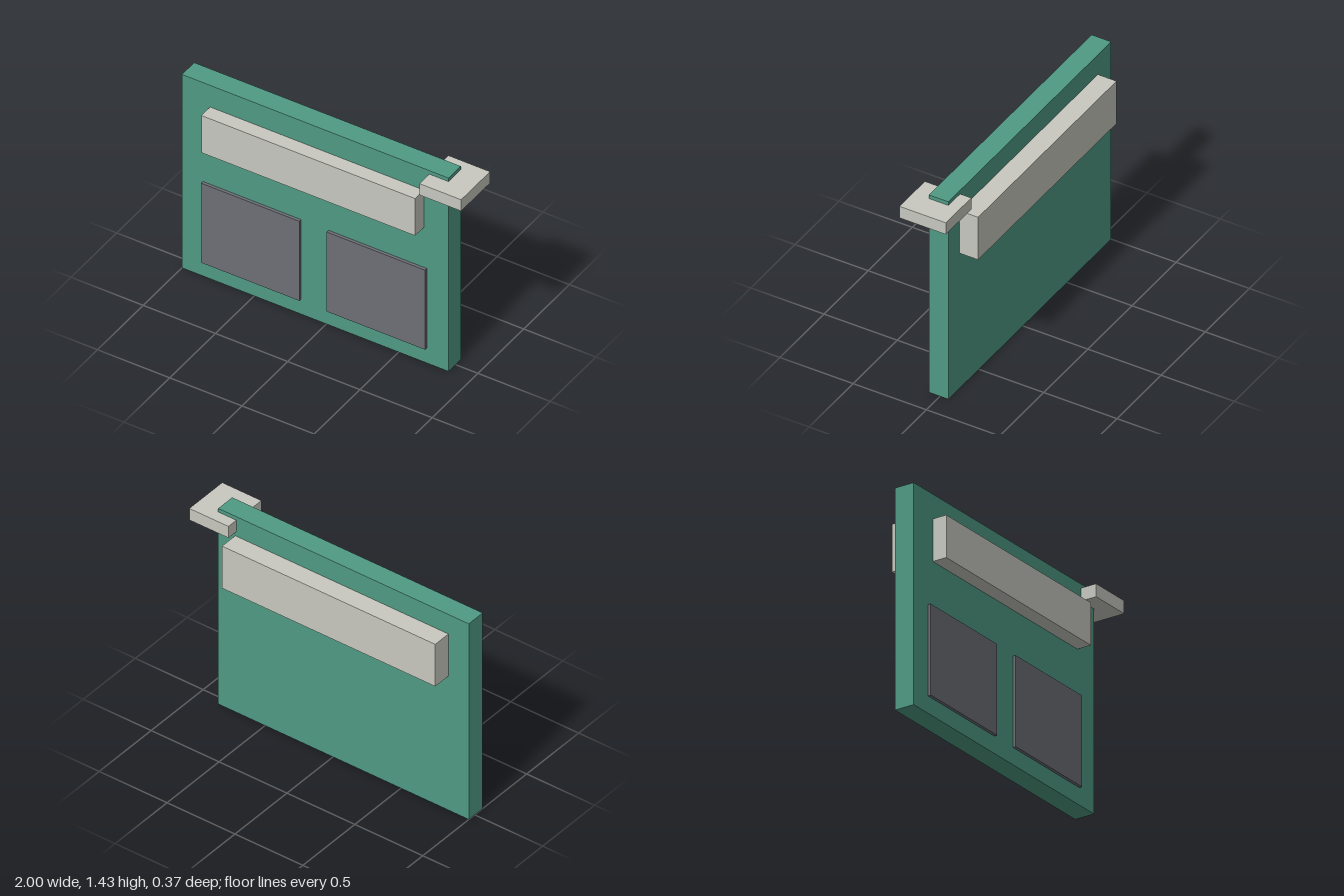
import * as THREE from 'three';

const paint = (name, color) => {
  const material = new THREE.MeshStandardMaterial({ color });
  material.name = name;
  return material;
};

// Box given by its extents along each axis
function block(name, material, [x0, x1], [y0, y1], [z0, z1]) {
  const mesh = new THREE.Mesh(new THREE.BoxGeometry(x1 - x0, y1 - y0, z1 - z0), material);
  mesh.position.set((x0 + x1) / 2, (y0 + y1) / 2, (z0 + z1) / 2);
  mesh.name = name;
  return mesh;
}

export function createModel() {
  const green = paint('green', 0x4f9a83);
  const paleGrey = paint('pale grey', 0xc8c8c0);
  const darkGrey = paint('dark grey', 0x6d6f76);
  const back = -0.057, front = 0.077;

  const model = new THREE.Group();
  model.name = 'panelDoor';

  // Main slab
  model.add(block('slab', green, [-1, 0.845], [0, 1.433], [back, front]));

  // Horizontal bars on both faces
  model.add(block('frontBar', paleGrey, [-0.805, 0.675], [0.998, 1.273], [front, 0.173]));
  model.add(block('backBar', paleGrey, [-0.85, 0.72], [0.982, 1.29], [-0.184, back]));

  // Clasp wrapped round the upper left edge
  model.add(block('clasp', paleGrey, [0.712, 1], [1.323, 1.407], [-0.133, 0.184]));

  // Pair of raised lower panels
  [['rightPanel', -0.855], ['leftPanel', 0.015]].forEach(([name, x]) => {
    model.add(block(name, darkGrey, [x, x + 0.68], [0.112, 0.701], [front, 0.097]));
  });

  return model;
}
